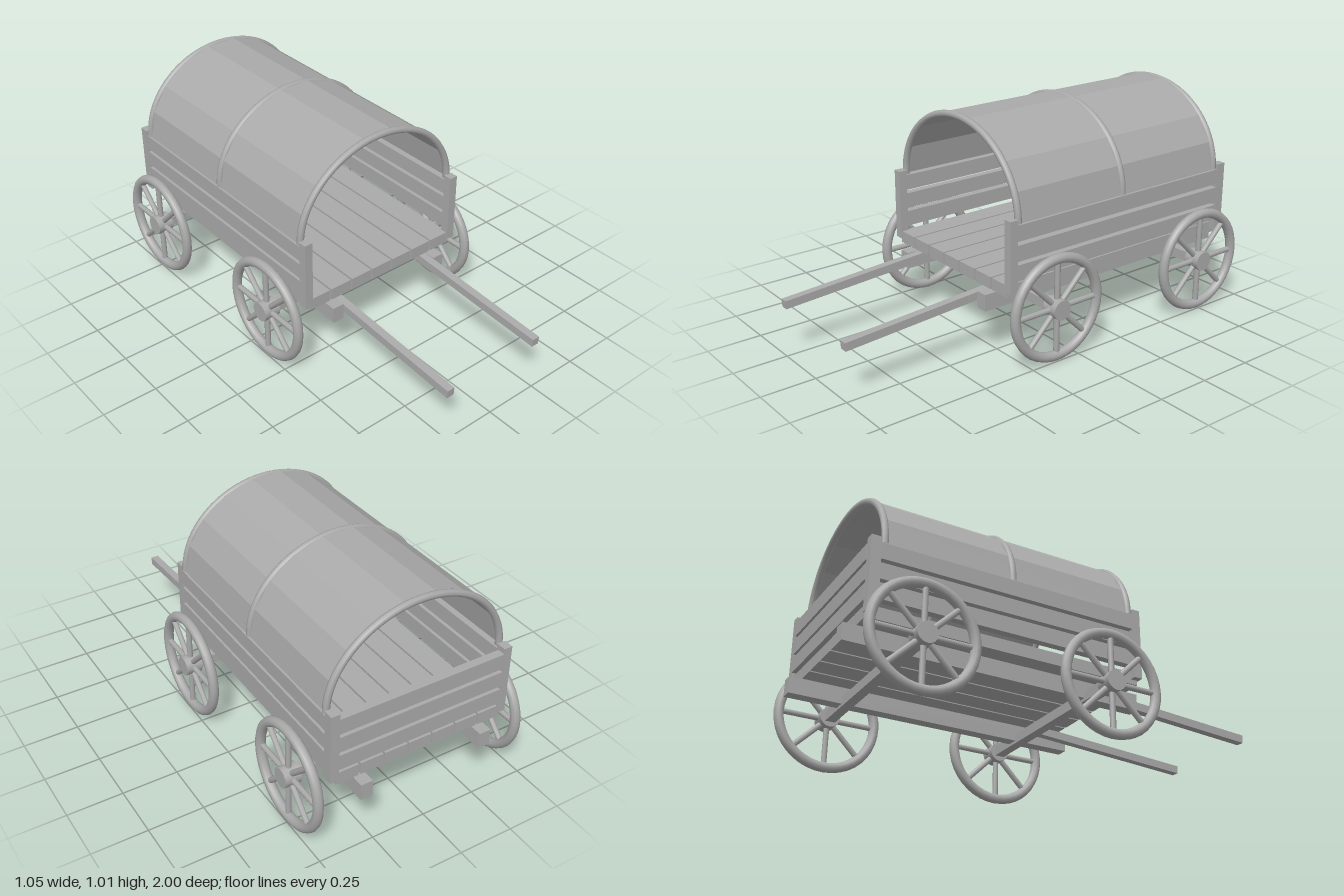
import * as THREE from 'three';

export function createModel() {
  const wagon = new THREE.Group();
  wagon.name = 'coveredWagon';
  const grey = new THREE.MeshStandardMaterial({ color: 0xaaaaaa });
  grey.name = 'grey';
  const greySheet = new THREE.MeshStandardMaterial({ color: 0xaaaaaa, side: THREE.DoubleSide, flatShading: true });
  greySheet.name = 'greySheet';

  const add = (name, geometry, parent = wagon, material = grey) => {
    const mesh = new THREE.Mesh(geometry, material);
    mesh.name = name;
    parent.add(mesh);
    return mesh;
  };
  // box given by its limits on each axis
  const box = (name, x0, x1, y0, y1, z0, z1) => {
    const mesh = add(name, new THREE.BoxGeometry(x1 - x0, y1 - y0, z1 - z0));
    mesh.position.set((x0 + x1) / 2, (y0 + y1) / 2, (z0 + z1) / 2);
    return mesh;
  };
  const mirrored = (name, x0, x1, ...rest) => {
    box(name + 'Left', x0, x1, ...rest);
    box(name + 'Right', -x1, -x0, ...rest);
  };

  // floor planks
  for (let i = -3; i <= 3; i++) {
    box('floorPlank', i * 0.115 - 0.053, i * 0.115 + 0.053, 0.315, 0.37, -0.945, 0.307);
  }

  // corner posts, side boards and tailgate boards
  mirrored('frontPost', 0.388, 0.427, 0.337, 0.66, 0.275, 0.314);
  mirrored('rearPost', 0.388, 0.427, 0.337, 0.66, -0.95, -0.905);
  for (const y of [0.39, 0.477, 0.565]) {
    mirrored('sideBoard', 0.39, 0.425, y, y + 0.071, -0.93, 0.312);
    box('tailgateBoard', -0.388, 0.388, y, y + 0.071, -0.952, -0.915);
  }

  // chassis beams and pulling shafts
  mirrored('chassisBeam', 0.262, 0.317, 0.24, 0.315, -1, 0.362);
  for (const side of [-1, 1]) {
    const shaft = add('shaft', new THREE.BoxGeometry(0.036, 0.037, 0.8));
    shaft.position.set(side * 0.244, 0.277, 0.6);
    shaft.rotation.x = 0.062;
  }

  // axles and spoked wheels
  const rim = new THREE.TorusGeometry(0.222, 0.0225, 10, 40);
  const hub = new THREE.CylinderGeometry(0.045, 0.045, 0.076, 16);
  const spoke = new THREE.CylinderGeometry(0.013, 0.013, 0.2, 8);
  for (const [z, end] of [[0.113, 'front'], [-0.74, 'rear']]) {
    box(end + 'Axle', -0.46, 0.46, 0.227, 0.272, z - 0.0225, z + 0.0225);
    for (const side of [-1, 1]) {
      const wheel = new THREE.Group();
      wheel.name = end + (side > 0 ? 'LeftWheel' : 'RightWheel');
      wheel.position.set(side * 0.486, 0.249, z);
      wheel.rotation.y = Math.PI / 2;
      add('rim', rim, wheel);
      add('hub', hub, wheel).rotation.x = Math.PI / 2;
      for (let i = 0; i < 8; i++) {
        const a = (i * Math.PI) / 4;
        const s = add('spoke', spoke, wheel);
        s.position.set(-Math.sin(a) * 0.12, Math.cos(a) * 0.12, 0);
        s.rotation.z = a;
      }
      wagon.add(wheel);
    }
  }

  // hoops
  const arch = [];
  for (let i = 0; i <= 24; i++) {
    const a = (i * Math.PI) / 24;
    arch.push(new THREE.Vector3(Math.cos(a) * 0.411, 0.638 + Math.sin(a) * 0.361, 0));
  }
  const hoop = new THREE.TubeGeometry(new THREE.CatmullRomCurve3(arch), 48, 0.0155, 8);
  for (const z of [0.263, -0.313, -0.887]) add('hoop', hoop).position.z = z;

  // faceted canopy sheet, stretched over the hoops
  const sheet = new THREE.CylinderGeometry(1, 1, 1.15, 9, 1, true, -Math.PI / 2, Math.PI);
  sheet.rotateX(-Math.PI / 2);
  sheet.scale(0.417, 0.372, 1);
  // keep the arch above its base
  sheet.computeBoundingBox();
  if (sheet.boundingBox.max.y < 0.1) sheet.rotateZ(Math.PI);
  add('canopy', sheet, wagon, greySheet).position.set(0, 0.638, -0.312);

  return wagon;
}
